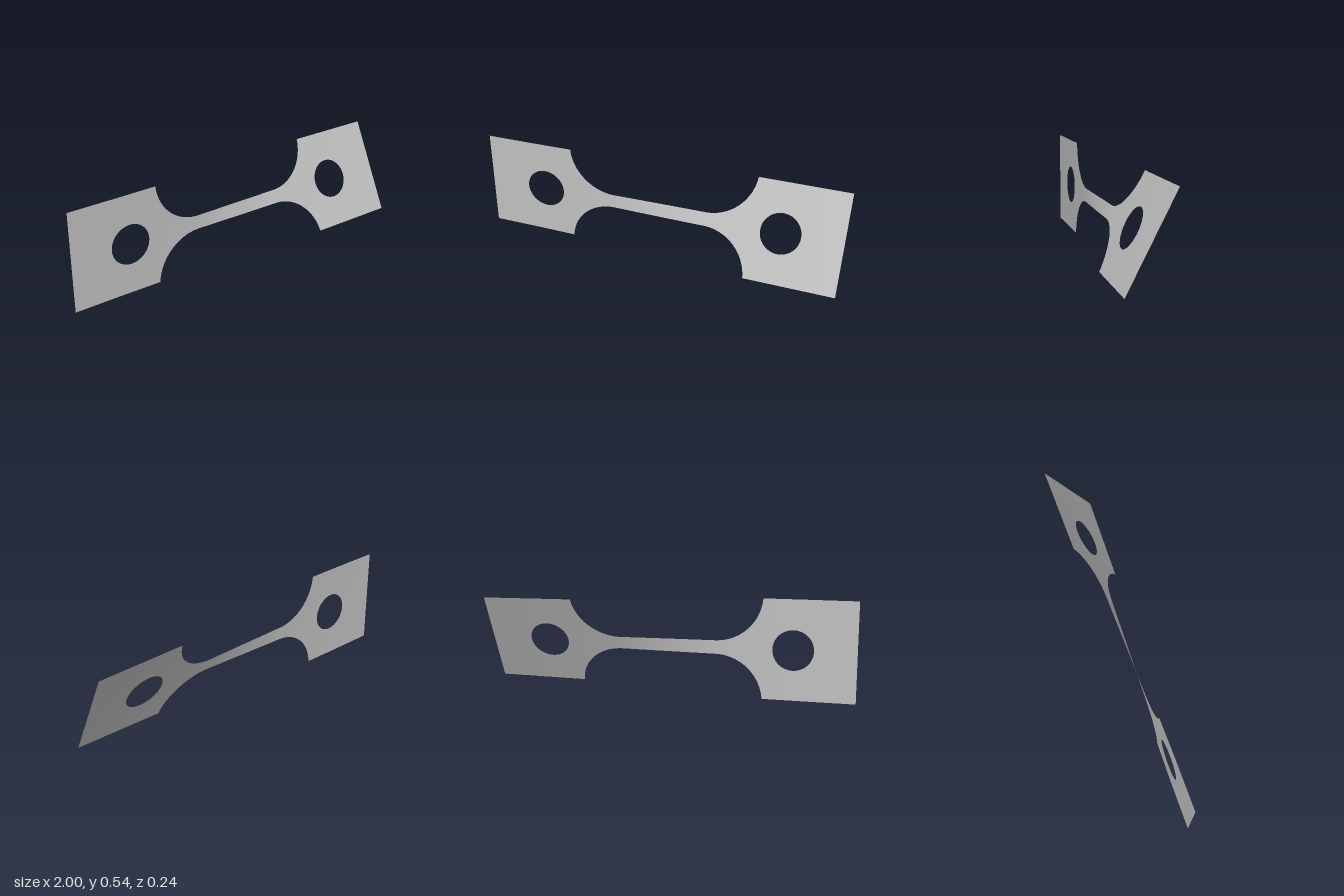
import * as THREE from 'three';
import { mergeVertices } from 'three/addons/utils/BufferGeometryUtils.js';

const HALF = 0.27;                                // half height of the grips
const FILLET = { x: 0.258, y: 0.29, r: 0.253 };   // arc between grip and neck
const SHOULDER = 0.51;                            // where the grips end
const HOLE = { x: 0.67, r: 0.108 };

// Half height of the outline at distance |x| from the middle
function outline(x) {
  const a = Math.abs(x);
  if (a >= SHOULDER) return HALF;
  const d = Math.max(0, a - FILLET.x);
  return Math.min(HALF, FILLET.y - Math.sqrt(Math.max(0, FILLET.r ** 2 - d * d)));
}

// Half height of the hole
function bore(x) {
  const d = Math.abs(x) - HOLE.x;
  return Math.sqrt(Math.max(0, HOLE.r ** 2 - d * d));
}

// Twist in degrees along x: most of it happens in the slender neck
const TWIST = [[-1, 0], [-0.72, 0.2], [-0.5, 1], [-0.36, 2.2], [-0.26, 3.8],
  [0.26, 22.6], [0.36, 23.9], [0.5, 24.8], [1, 26.8]];
function twist(x) {
  let i = 0;
  while (i < TWIST.length - 2 && x > TWIST[i + 1][0]) i++;
  const [x0, a0] = TWIST[i], [x1, a1] = TWIST[i + 1];
  return THREE.MathUtils.degToRad(a0 + (a1 - a0) * (x - x0) / (x1 - x0));
}

// Stations along one half, from the middle outwards, denser around the curves
function stations() {
  const xs = [];
  for (let i = 0; i < 16; i++) xs.push(FILLET.x * i / 16);
  const end = Math.asin((SHOULDER - FILLET.x) / FILLET.r);
  for (let i = 0; i <= 24; i++) xs.push(FILLET.x + FILLET.r * Math.sin(end * i / 24));
  for (let i = 0; i <= 40; i++) xs.push(HOLE.x - HOLE.r * Math.cos(Math.PI * i / 40));
  for (let i = 1; i <= 6; i++) xs.push(0.778 + (1 - 0.778) * i / 6);
  return xs;
}

function sheetGeometry() {
  const half = stations();
  const xs = [...half.slice(1).reverse().map((x) => -x), ...half];
  const pos = [], index = [];
  // Upper and lower strips, each running from the bore to the outline
  for (const side of [1, -1]) {
    const start = pos.length / 3;
    const rows = 4;
    xs.forEach((x, i) => {
      const a = twist(x), g = bore(x), h = outline(x);
      for (let j = 0; j <= rows; j++) {
        const v = side * (g + (h - g) * j / rows);
        pos.push(x, HALF + v * Math.cos(a), 0.0015 - v * Math.sin(a));
        if (i === 0 || j === 0) continue;
        const d = start + i * (rows + 1) + j, c = d - 1;
        const b = d - rows - 1, e = b - 1;
        if (side > 0) index.push(e, c, d, e, d, b);
        else index.push(e, d, c, e, b, d);
      }
    });
  }
  let geo = new THREE.BufferGeometry();
  geo.setAttribute('position', new THREE.Float32BufferAttribute(pos, 3));
  geo.setIndex(index);
  geo = mergeVertices(geo, 1e-5);
  geo.computeVertexNormals();
  return geo;
}

export function createModel() {
  const group = new THREE.Group();
  group.name = 'twistedTestStrip';
  const steel = new THREE.MeshStandardMaterial({ color: 0xc0c0c0, side: THREE.DoubleSide });
  steel.name = 'light grey';
  const sheet = new THREE.Mesh(sheetGeometry(), steel);
  sheet.name = 'twistedSheet';
  group.add(sheet);
  return group;
}
